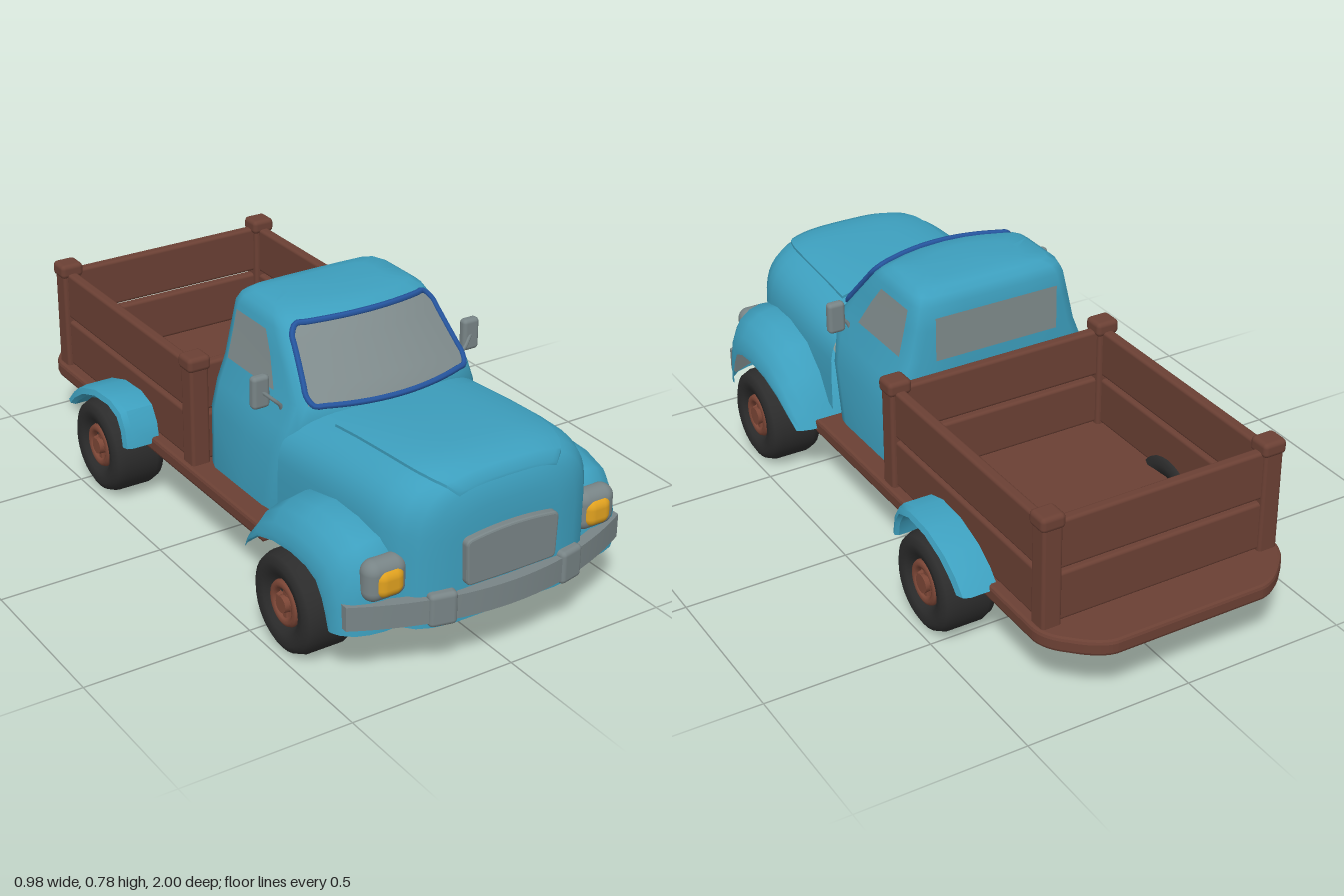
import * as THREE from 'three';
import { toCreasedNormals } from 'three/addons/utils/BufferGeometryUtils.js';
import { RoundedBoxGeometry } from 'three/addons/geometries/RoundedBoxGeometry.js';

const material = (name, color, side = THREE.FrontSide) => {
  const m = new THREE.MeshStandardMaterial({ color, side });
  m.name = name;
  return m;
};

// Skin a list of equally long point rows; closed wraps each row, cap fills the ends
function loft(rows, { closed = false, capStart = false, capEnd = false, crease = 0.7 } = {}) {
  const n = rows[0].length, pos = rows.flat(2), idx = [];
  for (let r = 0; r < rows.length - 1; r++) {
    for (let i = 0; i < (closed ? n : n - 1); i++) {
      const a = r * n + i, b = r * n + (i + 1) % n;
      idx.push(a, b, a + n, b, b + n, a + n);
    }
  }
  const cap = (r, flip) => {
    const c = pos.length / 3;
    for (let k = 0; k < 3; k++) pos.push(rows[r].reduce((s, p) => s + p[k], 0) / n);
    for (let i = 0; i < n; i++) {
      const a = r * n + i, b = r * n + (i + 1) % n;
      idx.push(...(flip ? [b, a, c] : [a, b, c]));
    }
  };
  if (capStart) cap(0, true);
  if (capEnd) cap(rows.length - 1, false);
  const g = new THREE.BufferGeometry();
  g.setAttribute('position', new THREE.Float32BufferAttribute(pos, 3));
  g.setIndex(idx);
  g.computeVertexNormals();
  return toCreasedNormals(g, crease);
}

// Cab levels: height, half width, front z, back z
const CAB = [
  [0.24, 0.335, 0.40, -0.01], [0.42, 0.333, 0.44, -0.012], [0.50, 0.312, 0.46, -0.014],
  [0.57, 0.284, 0.465, -0.015], [0.66, 0.263, 0.388, -0.015], [0.73, 0.248, 0.327, -0.012],
  [0.755, 0.236, 0.302, 0], [0.77, 0.212, 0.275, 0.02], [0.778, 0.15, 0.22, 0.06],
];
function cabAt(y) {
  let i = 0;
  while (i < CAB.length - 2 && y > CAB[i + 1][0]) i++;
  const t = (y - CAB[i][0]) / (CAB[i + 1][0] - CAB[i][0]);
  return CAB[i].map((v, k) => v + (CAB[i + 1][k] - v) * t);
}
const cabRing = ([y, w, f, b]) => {
  const half = [0.01, 0.3, 0.55, 0.78, 0.93].map(u => [u * w, y, f - 0.06 * u * u]);
  half.push([w * 0.985, y, f - 0.072], [w, y, f - 0.105], [w, y, (f + b) / 2], [w, y, b + 0.05],
    [w - 0.012, y, b + 0.016], [w - 0.04, y, b + 0.003], [w * 0.4, y, b]);
  return [...half, ...half.slice().reverse().map(([x, yy, z]) => [-x, yy, z])];
};

// Hood stations: z, half width, top, lower edge
const HOOD = [
  [0.38, 0.335, 0.55, 0.25], [0.5, 0.335, 0.562, 0.30], [0.6, 0.333, 0.573, 0.31], [0.74, 0.33, 0.583, 0.31],
  [0.81, 0.325, 0.585, 0.26], [0.85, 0.318, 0.584, 0.165], [0.90, 0.297, 0.578, 0.16],
  [0.935, 0.265, 0.566, 0.16], [0.953, 0.225, 0.54, 0.16], [0.963, 0.165, 0.48, 0.16],
];
function hoodArc([z, w, top], from, to, lift = 0, steps = 24) {
  return Array.from({ length: steps + 1 }, (_, i) => {
    const a = THREE.MathUtils.degToRad(from + (to - from) * i / steps), c = Math.cos(a), s = Math.max(0, Math.sin(a));
    return [w * Math.sign(c) * Math.abs(c) ** 0.6, 0.36 + (top - 0.36) * s ** 0.6 + lift, z];
  });
}

export function createModel() {
  const truck = new THREE.Group();
  truck.name = 'pickupTruck';
  const paint = material('bluePaint', 0x3d9fbe, THREE.DoubleSide);
  const wood = material('brownWood', 0x6b4034);
  const rubber = material('blackRubber', 0x2c2c2c);
  const metal = material('greyMetal', 0x788486);
  const glass = material('greyGlass', 0x7f8b8c, THREE.DoubleSide);
  const amber = material('amberLamp', 0xe0a11f);
  const trim = material('darkBlueTrim', 0x2656a0);
  const rim = material('copperRim', 0x7c4636);

  const add = (name, geo, mat, x = 0, y = 0, z = 0, parent = truck) => {
    const m = new THREE.Mesh(geo, mat);
    m.name = name;
    m.position.set(x, y, z);
    parent.add(m);
    return m;
  };
  const box = (w, h, d, r = 0.01) => new RoundedBoxGeometry(w, h, d, 2, r);

  // Bed floor with rounded tail corners
  const s = new THREE.Shape();
  s.moveTo(-0.39, -0.39);
  s.lineTo(0.39, -0.39);
  s.lineTo(0.39, 0.84);
  s.quadraticCurveTo(0.385, 0.89, 0.34, 0.93);
  s.quadraticCurveTo(0.28, 0.995, 0.23, 1);
  s.lineTo(-0.23, 1);
  s.quadraticCurveTo(-0.28, 0.995, -0.34, 0.93);
  s.quadraticCurveTo(-0.385, 0.89, -0.39, 0.84);
  const floor = new THREE.ExtrudeGeometry(s, { depth: 0.026, bevelThickness: 0.01, bevelSize: 0.01, bevelOffset: -0.01, bevelSegments: 2 });
  add('bedFloor', floor.rotateX(-Math.PI / 2), wood, 0, 0.192, 0);

  // Stake posts and boards
  for (const z of [-0.045, -0.837]) {
    for (const x of [-0.346, 0.346]) {
      add('bedPost', box(0.06, 0.33, 0.06), wood, x, 0.375, z);
      add('postCap', box(0.074, 0.045, 0.07, 0.014), wood, x, 0.545, z);
    }
  }
  for (const y of [0.305, 0.464]) {
    for (const x of [-0.346, 0.346]) add('sideBoard', box(0.034, 0.148, 0.75), wood, x, y, -0.44);
    for (const z of [-0.045, -0.84]) add('endBoard', box(0.66, 0.148, 0.034), wood, 0, y, z);
  }

  // Cab and hood shells
  add('cab', loft(CAB.map(cabRing), { closed: true, capStart: true, capEnd: true, crease: 0.9 }), paint);
  const hoodRows = HOOD.map(h => {
    const arc = hoodArc(h, 0, 180);
    return [[h[1], h[3], h[0]], ...arc, [-h[1], h[3], h[0]]];
  });
  add('hood', loft(hoodRows, { capEnd: true, crease: 0.9 }), paint);
  const panelRows = HOOD.slice(1, 9).map(h => [...hoodArc(h, 58, 122, 0.008, 12), ...hoodArc(h, 122, 58, -0.004, 12)]);
  add('hoodPanel', loft(panelRows, { closed: true, capStart: true, capEnd: true }), paint);

  // Windshield follows the cab front
  const shield = (u, v, off) => {
    const edge = 0.572 + 0.172 * v, y = edge + 0.008 * (1 - u * u) * (v * 2 - 1);
    const [, w, f] = cabAt(y);
    return [u * w * 0.92, y + off * 0.7, f - 0.06 * (u * 0.92) ** 2 + off];
  };
  const grid = Array.from({ length: 9 }, (_, j) => Array.from({ length: 17 }, (_, i) => shield(i / 8 - 1, j / 8, 0.005)));
  add('windshield', loft(grid), glass);
  const loop = [];
  const edge = (u, v) => loop.push(new THREE.Vector3(...shield(u, v, 0.005)));
  for (let i = -8; i <= 8; i++) edge(i / 8.5, 0);
  for (let i = 1; i < 8; i++) edge(1, i / 8);
  for (let i = 8; i >= -8; i--) edge(i / 8.5, 1);
  for (let i = 7; i > 0; i--) edge(-1, i / 8);
  add('windshieldFrame', new THREE.TubeGeometry(new THREE.CatmullRomCurve3(loop, true), 120, 0.009, 6, true), trim);

  // Side and rear windows
  const levels = [0.575, 0.66, 0.715];
  for (const side of [-1, 1]) {
    const rows = levels.map((y, i) => {
      const x = side * (cabAt(y)[1] + 0.004);
      return [[x, y, 0.04], [x, y, [0.285, 0.235, 0.195][i]]];
    });
    add('sideWindow', loft(rows), glass);
  }
  add('rearWindow', loft([0.565, 0.70].map(y => [[-0.2, y, -0.021], [0.2, y, -0.021]])), glass);

  // Front fender stations: inner z, y, outer z, y, half width
  const FRONT = [
    [0.402, 0.20, 0.375, 0.20, 0.45], [0.43, 0.235, 0.405, 0.26, 0.46], [0.49, 0.28, 0.46, 0.345, 0.467],
    [0.57, 0.305, 0.54, 0.405, 0.468], [0.66, 0.315, 0.66, 0.43, 0.468], [0.73, 0.31, 0.76, 0.427, 0.468],
    [0.775, 0.29, 0.845, 0.405, 0.466], [0.80, 0.25, 0.885, 0.36, 0.464], [0.815, 0.21, 0.90, 0.28, 0.463],
    [0.825, 0.163, 0.905, 0.163, 0.46],
  ];
  const REAR = [
    [-0.268, 0.21, -0.235, 0.21], [-0.276, 0.255, -0.247, 0.27], [-0.296, 0.288, -0.275, 0.315],
    [-0.345, 0.305, -0.34, 0.334], [-0.43, 0.298, -0.44, 0.328], [-0.505, 0.272, -0.53, 0.298],
    [-0.56, 0.235, -0.59, 0.26], [-0.585, 0.212, -0.632, 0.215],
  ];
  const arch = (stations, section, side) => stations.map(([zi, yi, zo, yo, w]) =>
    section(w).map(([x, t]) => [side * x, yi + (yo - yi) * t, zi + (zo - zi) * t]));
  const frontSection = w => [[w, 0], [w, 0.15], [w - 0.013, 0.45], [w - 0.042, 0.76], [w - 0.08, 0.93],
    [w - 0.12, 1], [0.31, 0.98], [0.26, 0.92]];
  const rearSection = () => [[0.365, 0], [0.465, 0], [0.475, 0.3], [0.468, 0.8], [0.45, 1], [0.365, 1]];

  // Wheel parts, spinning about x
  const tyre = new THREE.LatheGeometry([[0.06, -0.055], [0.085, -0.08], [0.115, -0.086], [0.135, -0.075], [0.145, -0.05],
    [0.145, 0.05], [0.135, 0.075], [0.115, 0.086], [0.085, 0.08], [0.06, 0.055], [0.06, -0.055]]
    .map(p => new THREE.Vector2(...p)), 32).rotateZ(-Math.PI / 2);
  const ring = new THREE.TorusGeometry(0.054, 0.013, 8, 24).rotateY(Math.PI / 2);
  const hub = new THREE.CylinderGeometry(0.024, 0.028, 0.04, 16).rotateZ(Math.PI / 2);

  for (const side of [-1, 1]) {
    add('frontFender', loft(arch(FRONT, frontSection, side), { crease: 1 }), paint);
    add('rearFender', loft(arch(REAR, rearSection, side), { closed: true, capStart: true, capEnd: true }), paint);

    for (const z of [0.63, -0.42]) {
      const wheel = new THREE.Group();
      wheel.name = 'wheel';
      wheel.position.set(side * 0.402, 0.145, z);
      truck.add(wheel);
      add('tyre', tyre, rubber, 0, 0, 0, wheel);
      add('wheelRim', ring, rim, side * 0.064, 0, 0, wheel);
      add('wheelHub', hub, rim, side * 0.06, 0, 0, wheel);
      for (const a of [0, Math.PI / 2]) add('spoke', box(0.02, 0.11, 0.024, 0.006), rim, side * 0.058, 0, 0, wheel).rotation.x = a;
    }

    // Headlight: housing bowl, bezel and lamp
    add('headlightBowl', new THREE.SphereGeometry(0.058, 20, 14), metal, side * 0.338, 0.315, 0.85);
    add('headlightBezel', new RoundedBoxGeometry(0.126, 0.118, 0.07, 5, 0.034), metal, side * 0.338, 0.317, 0.887);
    add('headlightLamp', new RoundedBoxGeometry(0.088, 0.084, 0.06, 5, 0.029), amber, side * 0.335, 0.314, 0.903);

    // Bumper guard
    add('bumperGuard', box(0.08, 0.098, 0.06, 0.014), metal, side * 0.202, 0.22, 0.951).rotation.y = side * 0.22;

    // Door mirror on a bent arm
    add('mirror', box(0.054, 0.096, 0.03, 0.012), metal, side * 0.347, 0.598, 0.31);
    const bend = new THREE.CatmullRomCurve3([[0.345, 0.6, 0.32], [0.315, 0.572, 0.335], [0.298, 0.555, 0.335], [0.287, 0.53, 0.33]]
      .map(([x, y, z]) => new THREE.Vector3(side * x, y, z)));
    add('mirrorArm', new THREE.TubeGeometry(bend, 12, 0.006, 6), metal);
  }

  // Grille and bowed bumper
  const bow = (geo, k) => {
    const p = geo.attributes.position;
    for (let i = 0; i < p.count; i++) p.setZ(i, p.getZ(i) - k * p.getX(i) ** 2);
    geo.computeVertexNormals();
    return geo;
  };
  const g = new THREE.Shape();
  g.moveTo(-0.13, -0.073);
  g.quadraticCurveTo(0, -0.076, 0.13, -0.073);
  g.quadraticCurveTo(0.142, -0.072, 0.143, -0.055);
  g.lineTo(0.147, 0.045);
  g.quadraticCurveTo(0.147, 0.06, 0.13, 0.063);
  g.quadraticCurveTo(0, 0.083, -0.13, 0.063);
  g.quadraticCurveTo(-0.147, 0.06, -0.147, 0.045);
  g.lineTo(-0.143, -0.055);
  g.quadraticCurveTo(-0.142, -0.072, -0.13, -0.073);
  add('grille', new THREE.ExtrudeGeometry(g, { depth: 0.026, bevelThickness: 0.006, bevelSize: 0.006, bevelOffset: -0.006, bevelSegments: 2 }),
    metal, 0, 0.344, 0.953);
  add('bumper', toCreasedNormals(bow(new THREE.BoxGeometry(0.886, 0.07, 0.034, 24), 0.6), 0.6), metal, 0, 0.22, 0.982);

  return truck;
}
